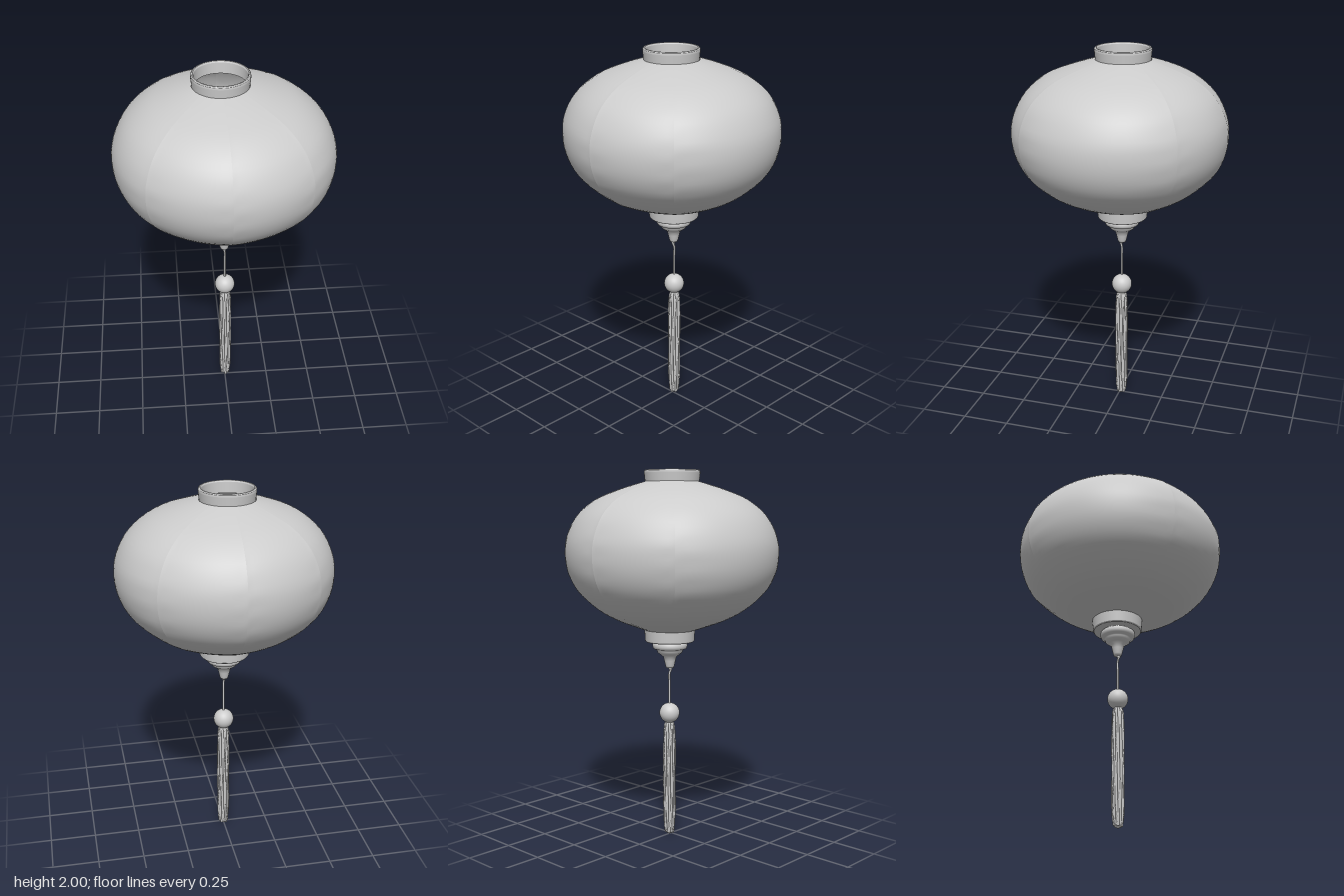
import * as THREE from 'three';

const V2 = (p) => new THREE.Vector2(p[0], p[1]);

// Upright outline of the fabric body: radius, height
const outline = new THREE.SplineCurve([
  [0.125, 1.15], [0.2, 1.175], [0.3, 1.212], [0.4, 1.268], [0.5, 1.36], [0.552, 1.455], [0.57, 1.56],
  [0.556, 1.66], [0.5, 1.765], [0.4, 1.848], [0.27, 1.902], [0.145, 1.94],
].map(V2));

// One fabric panel stretched between two ribs at angles a0 and a1
function panelGeometry(a0, a1) {
  const rows = 44, cols = 28, pos = [], index = [];
  const wide = a1 - a0 > 1;
  for (let i = 0; i <= rows; i++) {
    const v = i / rows, p = outline.getPoint(v);
    const end = Math.abs(2 * v - 1) ** 2;
    const open = Math.sin(Math.PI * v);
    for (let j = 0; j <= cols; j++) {
      const u = j / cols, a = a0 + (a1 - a0) * u;
      const edge = Math.min(u, 1 - u);
      // cloth sags between ribs and puckers beside the seams
      const sag = (wide ? 0 : 0.008) + 0.05 * end * open;
      const dip = sag * Math.pow(Math.sin(Math.PI * u), 0.6);
      const pucker = 0.003 * open * Math.sin(v * 70 + a0 * 3) * edge * 12 * Math.exp(-edge * 14);
      const r = p.x * (1 - dip) + pucker;
      pos.push(r * Math.sin(a) - 0.005 - 0.015 * v * end, p.y, r * Math.cos(a) - 0.015 * end);
    }
  }
  const w = cols + 1;
  for (let i = 0; i < rows; i++) {
    for (let j = 0; j < cols; j++) {
      const a = i * w + j, d = a + w;
      index.push(a, a + 1, d + 1, a, d + 1, d);
    }
  }
  const g = new THREE.BufferGeometry();
  g.setAttribute('position', new THREE.Float32BufferAttribute(pos, 3));
  g.setIndex(index);
  g.computeVertexNormals();
  return g;
}

// Lathe whose profile corners stay sharp: each segment is doubled near its ends
function turned(points) {
  const pts = [];
  points.forEach((p, i) => {
    const here = V2(p);
    if (i > 0) pts.push(here.clone().lerp(V2(points[i - 1]), 0.06));
    pts.push(here);
    if (i < points.length - 1) pts.push(here.clone().lerp(V2(points[i + 1]), 0.06));
  });
  return new THREE.LatheGeometry(pts, 48);
}

export function createModel() {
  const group = new THREE.Group();
  const grey = new THREE.MeshStandardMaterial({ color: 0xcccccc, side: THREE.DoubleSide });
  grey.name = 'plain grey';
  const add = (name, geometry, x = 0, y = 0, z = 0, parent = group) => {
    const mesh = new THREE.Mesh(geometry, grey);
    mesh.name = name;
    mesh.position.set(x, y, z);
    parent.add(mesh);
    return mesh;
  };

  // Six fabric panels, the two side ones twice as wide
  const body = new THREE.Group();
  body.name = 'fabricBody';
  group.add(body);
  const ribs = [0, 45, 135, 180, 225, 315, 360].map((d) => (d * Math.PI) / 180);
  for (let k = 0; k < 6; k++) add('fabricPanel', panelGeometry(ribs[k], ribs[k + 1]), 0, 0, 0, body);

  // Open collar at the top
  add('topCollar', turned([
    [0.13, 1.935], [0.143, 1.935], [0.148, 1.985], [0.147, 1.995], [0.142, 2], [0.136, 2], [0.132, 1.992], [0.13, 1.935],
  ]), -0.02, 0, -0.013);

  // Closed collar and turned finial below
  add('bottomCollar', turned([
    [0, 1.09], [0.128, 1.09], [0.133, 1.096], [0.137, 1.155], [0.125, 1.16], [0, 1.16],
  ]), -0.004, 0, -0.015);
  add('finial', new THREE.LatheGeometry([
    [0, 0.945], [0.02, 0.945], [0.024, 0.955], [0.031, 0.985], [0.036, 1.005], [0.05, 1.017], [0.066, 1.028],
    [0.07, 1.04], [0.073, 1.046], [0.09, 1.052], [0.095, 1.065], [0.093, 1.08], [0.08, 1.092], [0, 1.092],
  ].map(V2), 40), -0.003, 0, -0.013);

  // Cord, with a small knot under the finial
  const cord = new THREE.CatmullRomCurve3([
    [0, 0.955, -0.008], [-0.004, 0.935, -0.006], [0, 0.915, -0.013], [0, 0.85, -0.013], [0, 0.72, -0.013],
  ].map((p) => new THREE.Vector3(...p)));
  add('cord', new THREE.TubeGeometry(cord, 40, 0.006, 8));
  add('cordKnot', new THREE.SphereGeometry(0.01, 12, 8), -0.002, 0.938, -0.008);

  // Bead
  add('bead', new THREE.SphereGeometry(0.055, 32, 24), 0, 0.694, -0.013);

  // Tassel: a core wrapped in slightly wavy strands
  const tassel = new THREE.Group();
  tassel.name = 'tassel';
  tassel.position.set(0.002, 0, -0.012);
  group.add(tassel);
  add('tasselCore', new THREE.CylinderGeometry(0.022, 0.022, 0.6, 16), 0, 0.33, 0, tassel);
  const count = 16;
  for (let k = 0; k < count; k++) {
    const a = (k / count) * Math.PI * 2;
    const bottom = 0.008 + 0.012 * Math.abs(Math.sin(k * 5.3));
    const strand = [[0.012, 0.648], [0.021, 0.63], [0.026, 0.58], [0.028, 0.45], [0.027, 0.3], [0.027, 0.15], [0.024, 0.06], [0.019, bottom]];
    const path = new THREE.CatmullRomCurve3(strand.map(([r, y], i) => {
      const turn = a + 0.12 * Math.sin(i * 1.9 + k * 2.3);
      const radius = r + 0.0015 * Math.sin(i * 2.7 + k * 4.1);
      return new THREE.Vector3(radius * Math.sin(turn), y, radius * Math.cos(turn));
    }));
    add('tasselStrand', new THREE.TubeGeometry(path, 28, 0.0075, 7), 0, 0, 0, tassel);
  }
  // Rounded bottom tuft
  add('tasselTip', new THREE.SphereGeometry(0.024, 16, 10), 0, 0.026, 0, tassel);

  return group;
}
